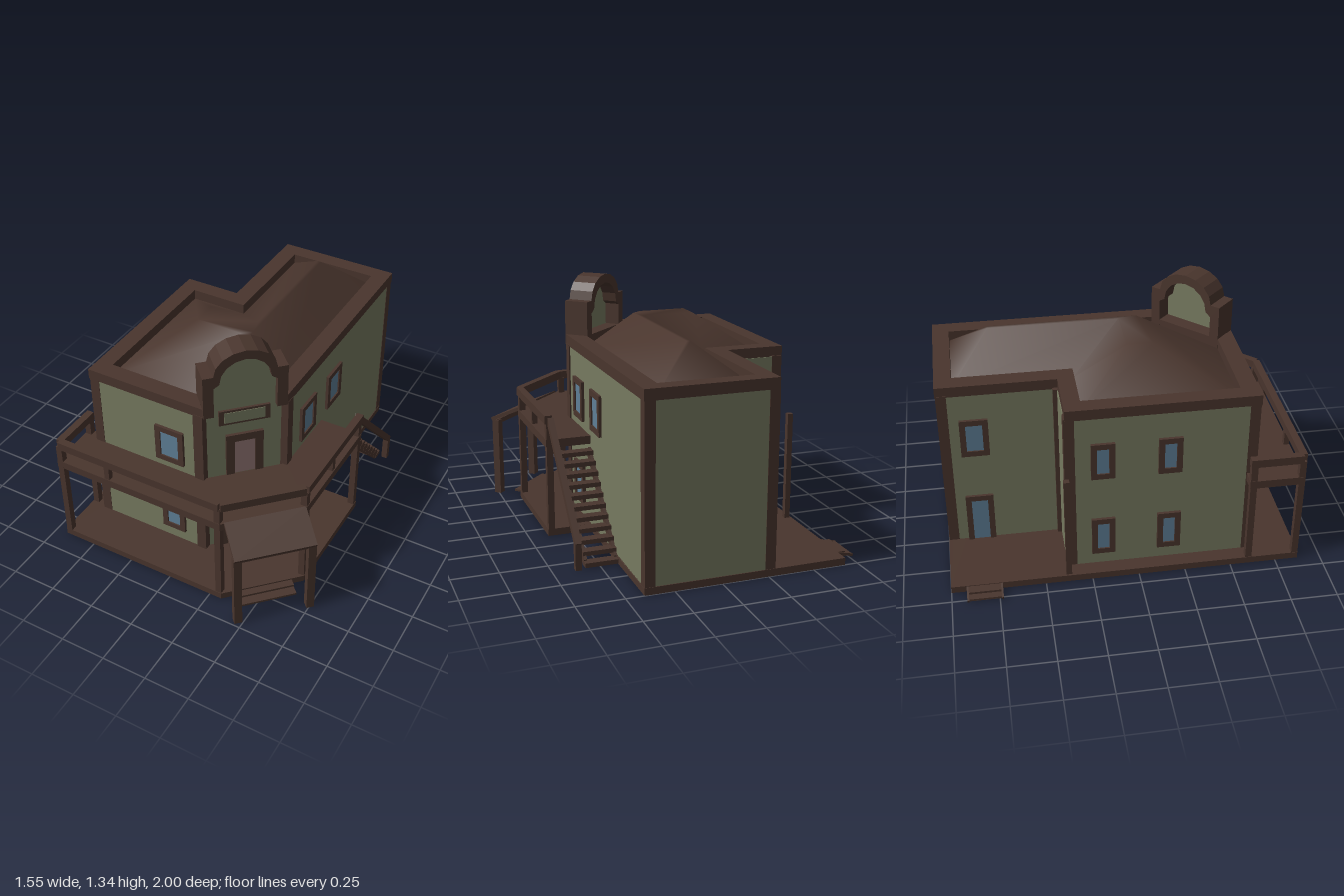
import * as THREE from 'three';

const mat = (name, color) => {
  const m = new THREE.MeshStandardMaterial({ color });
  m.name = name;
  return m;
};

export function createModel() {
  const timber = mat('dark brown timber', 0x49352d);
  const plaster = mat('olive green wall', 0x767a60);
  const glass = mat('blue window glass', 0x5f7f96);
  const doorPaint = mat('dusty pink door', 0x8f7471);
  const roofMat = timber.clone();
  roofMat.name = 'brown roof';
  roofMat.side = THREE.DoubleSide;

  const model = new THREE.Group();
  model.name = 'cornerSaloon';

  const add = (parent, name, geo, m) => {
    const mesh = new THREE.Mesh(geo, m);
    mesh.name = name;
    parent.add(mesh);
    return mesh;
  };
  // Box given by its extents on each axis
  const box = (parent, name, x0, x1, y0, y1, z0, z1, m = timber) => {
    const mesh = add(parent, name, new THREE.BoxGeometry(x1 - x0, y1 - y0, z1 - z0), m);
    mesh.position.set((x0 + x1) / 2, (y0 + y1) / 2, (z0 + z1) / 2);
    return mesh;
  };
  // Straight member between two points
  const beam = (name, p, q, w, h, m = timber) => {
    const a = new THREE.Vector3(...p), b = new THREE.Vector3(...q);
    const mesh = add(model, name, new THREE.BoxGeometry(w, h, a.distanceTo(b)), m);
    mesh.position.copy(a).add(b).multiplyScalar(0.5);
    mesh.lookAt(b);
  };
  const post = (parent, name, x, z, y0, y1, w) =>
    box(parent, name, x - w / 2, x + w / 2, y0, y1, z - w / 2, z + w / 2);
  // Horizontal slab from an [x, z] outline
  const slab = (name, pts, y, h, hole) => {
    const v = (l) => l.map(([x, z]) => new THREE.Vector2(x, -z));
    const shape = new THREE.Shape(v(pts));
    if (hole) shape.holes.push(new THREE.Path(v(hole)));
    const geo = new THREE.ExtrudeGeometry(shape, { depth: h, bevelEnabled: false });
    geo.rotateX(-Math.PI / 2);
    add(model, name, geo, timber).position.y = y;
  };
  const place = (name, x, z, angle) => {
    const g = new THREE.Group();
    g.name = name;
    g.position.set(x, 0, z);
    g.rotation.y = angle;
    model.add(g);
    return g;
  };
  // Framed opening on a wall whose outside is local +z
  const opening = (g, name, w, y0, y1, b, m, isDoor = false) => {
    const d = 0.016;
    box(g, name + 'FrameLeft', w / 2 - b, w / 2, y0, y1, -0.005, d);
    box(g, name + 'FrameRight', -w / 2, -w / 2 + b, y0, y1, -0.005, d);
    box(g, name + 'FrameTop', -w / 2 + b, w / 2 - b, y1 - b, y1, -0.005, d);
    if (!isDoor) box(g, name + 'Sill', -w / 2 + b, w / 2 - b, y0, y0 + b, -0.005, d);
    box(g, name + 'Panel', -w / 2 + b, w / 2 - b, isDoor ? y0 : y0 + b, y1 - b, 0, 0.008, m);
  };

  // Walls, corner posts and base boards; the angled corner gets its own wall below
  const plan = [[-0.59, -0.37], [-0.59, 0.625], [0.085, 0.625], [0.395, 0.315],
    [0.395, -0.99], [-0.28, -0.99], [-0.28, -0.37]];
  plan.forEach(([x, z], i) => {
    const [x2, z2] = plan[(i + 1) % plan.length];
    if (i !== 2) beam('wall', [x, 0.483, z], [x2, 0.483, z2], 0.01, 0.964, plaster);
    beam('baseBoard', [x, 0.017, z], [x2, 0.017, z2], 0.02, 0.034);
  });
  const corners = [[-0.568, -0.35], [-0.568, 0.605], [0.06, 0.61], [0.38, 0.29],
    [0.375, -0.97], [-0.26, -0.97], [-0.28, -0.37]];
  corners.forEach(([x, z]) => post(model, 'cornerPost', x, z, 0, 0.97, 0.055));

  // Parapet ring, set back behind the angled corner
  const parapet = [[-0.6, -0.37], [-0.6, 0.635], [0.09, 0.635], [0.06, 0.605], [0.375, 0.29],
    [0.405, 0.32], [0.405, -1], [-0.285, -1], [-0.285, -0.37]];
  const eave = [[-0.51, -0.28], [-0.51, 0.54], [0, 0.54], [0.31, 0.23],
    [0.31, -0.91], [-0.19, -0.91], [-0.19, -0.28]];
  slab('parapet', parapet, 0.962, 0.058, eave);

  // Hipped roof: slopes between the eave and the ridge outline, plus the flat top
  const ridge = [[-0.23, 0], [-0.23, 0.14], [0.03, 0.14], [0.08, 0.1],
    [0.08, -0.7], [0.06, -0.7], [0.06, 0]];
  const n = eave.length;
  const points = [...eave.map(([x, z]) => [x, 0.963, z]), ...ridge.map(([x, z]) => [x, 1.16, z])];
  const faces = [];
  for (let i = 0; i < n; i++) {
    const j = (i + 1) % n;
    faces.push(i, j, n + j, i, n + j, n + i);
  }
  const flat = ridge.map(([x, z]) => new THREE.Vector2(x, -z));
  THREE.ShapeUtils.triangulateShape(flat, []).forEach((f) => faces.push(...f.map((k) => n + k)));
  const roofGeo = new THREE.BufferGeometry();
  roofGeo.setAttribute('position', new THREE.Float32BufferAttribute(points.flat(), 3));
  roofGeo.setIndex(faces);
  roofGeo.computeVertexNormals();
  add(model, 'hippedRoof', roofGeo, roofMat);

  // Porch deck and balcony floor
  slab('porchDeck', [[-0.68, -1], [0.4, -1], [0.4, -0.11], [0.645, -0.11], [0.645, 0.55],
    [0.32, 0.875], [-0.68, 0.875]], 0, 0.038,
  [[-0.4, -0.01], [-0.37, 0.5], [0.07, 0.47], [0.35, 0.15], [0.31, -0.11], [0.385, -0.13],
    [0.385, -0.96], [0.05, -0.96], [-0.03, -0.84], [-0.02, -0.1]]);
  slab('balconyFloor', [[-0.68, 0.58], [-0.68, 0.875], [0.32, 0.875], [0.645, 0.55], [0.645, -0.11],
    [0.4, -0.11], [0.4, 0.3], [0.07, 0.63], [-0.6, 0.63], [-0.6, 0.58]], 0.5, 0.045);

  // Balcony rail, posts and short uprights
  const rail = [[-0.66, 0.58], [-0.66, 0.861], [0.314, 0.861], [0.63, 0.545], [0.63, -0.11]];
  for (let i = 0; i < rail.length - 1; i++) {
    const [a, b] = [rail[i], rail[i + 1]];
    beam('balconyRail', [a[0], 0.655, a[1]], [b[0], 0.655, b[1]], 0.04, 0.046);
  }
  [[-0.66, 0.6], [-0.66, 0.858], [0.302, 0.855], [0.625, 0.533], [0.625, -0.093]].forEach(([x, z]) =>
    post(model, 'balconyPost', x, z, 0.03, 0.64, 0.035));
  [[-0.36, 0.858], [0.625, 0.23]].forEach(([x, z]) => post(model, 'railUpright', x, z, 0.54, 0.64, 0.03));
  post(model, 'sidePost', -0.655, -0.375, 0.03, 0.64, 0.03);

  // Outside stair
  const steps = 11;
  for (let i = 0; i < steps; i++) {
    const y = 0.5 - (i + 0.5) * 0.045, z = -0.11 - i * 0.0435;
    box(model, 'stairTread', 0.4, 0.58, y - 0.024, y, z - 0.055, z);
  }
  [0.41, 0.57].forEach((x) => beam('stairStringer', [x, 0.47, -0.11], [x, 0.02, -0.555], 0.016, 0.048));
  beam('stairHandrail', [0.618, 0.655, -0.1], [0.618, 0.135, -0.605], 0.033, 0.035);
  post(model, 'stairPost', 0.618, -0.595, 0, 0.15, 0.033);

  // Windows: [x, z, angle, width, bottom, top]
  const R = Math.PI / 2;
  [[-0.115, 0.63, 0, 0.17, 0.595, 0.815], [-0.11, 0.63, 0, 0.14, 0.112, 0.338],
    [0.4, 0.08, R, 0.17, 0.595, 0.817], [0.4, 0.08, R, 0.17, 0.112, 0.338],
    [0.4, -0.235, R, 0.17, 0.595, 0.817],
    [-0.596, 0.17, -R, 0.125, 0.6, 0.813], [-0.596, 0.17, -R, 0.125, 0.112, 0.338],
    [-0.596, -0.18, -R, 0.125, 0.6, 0.813], [-0.596, -0.18, -R, 0.125, 0.112, 0.338],
    [-0.285, -0.815, -R, 0.15, 0.595, 0.817],
  ].forEach(([x, z, a, w, y0, y1]) => opening(place('window', x, z, a), 'window', w, y0, y1, 0.031, glass));
  opening(place('sideDoor', -0.285, -0.815, -R), 'sideDoor', 0.15, 0.038, 0.33, 0.031, glass, true);

  // Angled corner front: arched gable trim around a recessed full-height wall
  const front = place('cornerFront', 0.245, 0.475, Math.PI / 4);
  const V = (x, y) => new THREE.Vector2(x, y);
  const arc = (r, y, h, dir) => Array.from({ length: 9 }, (_, i) => {
    const t = Math.PI * i / 8;
    return V(-dir * r * Math.cos(t), y + h * Math.sin(t));
  });
  const trim = new THREE.Shape([V(-0.22, 0.962), V(-0.22, 1.21), ...arc(0.165, 1.21, 0.13, 1),
    V(0.22, 1.21), V(0.22, 0.962), V(0.165, 0.962), V(0.165, 1.14), ...arc(0.135, 1.16, 0.13, -1),
    V(-0.165, 1.14), V(-0.165, 0.962)]);
  add(front, 'archedGableTrim', new THREE.ExtrudeGeometry(trim, { depth: 0.14, bevelEnabled: false }), timber)
    .position.z = -0.13;
  const infill = new THREE.Shape([V(-0.2, 0), V(-0.2, 0.965), V(-0.17, 0.965), V(-0.17, 1.15),
    ...arc(0.14, 1.16, 0.132, 1), V(0.17, 1.15), V(0.17, 0.965), V(0.2, 0.965), V(0.2, 0)]);
  add(front, 'cornerWall', new THREE.ExtrudeGeometry(infill, { depth: 0.02, bevelEnabled: false }), plaster)
    .position.z = -0.045;

  // Blank sign, doors and knob on the recessed wall
  const recess = place('cornerOpenings', 0.228, 0.458, Math.PI / 4);
  box(recess, 'signBoard', -0.135, 0.135, 0.88, 0.97, -0.01, 0.012);
  box(recess, 'signPanel', -0.108, 0.108, 0.893, 0.957, 0.011, 0.015, plaster);
  opening(recess, 'upperDoor', 0.2, 0.545, 0.807, 0.045, doorPaint, true);
  opening(recess, 'lowerDoor', 0.305, 0.038, 0.328, 0.053, doorPaint, true);
  add(recess, 'doorKnob', new THREE.SphereGeometry(0.013, 8, 6), plaster).position.set(0, 0.14, 0.01);

  // Entrance canopy and steps
  const canopy = add(front, 'canopyRoof', new THREE.BoxGeometry(0.43, 0.02, 0.212), timber);
  canopy.position.set(0.008, 0.502, 0.43);
  canopy.rotation.x = 0.42;
  box(front, 'canopyBeam', -0.205, 0.221, 0.43, 0.458, 0.49, 0.51);
  [-0.187, 0.203].forEach((x) => post(front, 'canopyPost', x, 0.5, 0, 0.455, 0.042));
  box(front, 'frontStepUpper', -0.16, 0.16, 0.018, 0.03, 0.32, 0.375);
  box(front, 'frontStepLower', -0.16, 0.16, 0.002, 0.014, 0.365, 0.42);

  // Side steps
  box(model, 'sideStepUpper', -0.73, -0.67, 0.022, 0.034, -0.91, -0.74);
  box(model, 'sideStepLower', -0.765, -0.715, 0.006, 0.018, -0.91, -0.74);
  [-0.915, -0.735].forEach((z) => beam('sideStepStringer', [-0.77, 0.01, z], [-0.68, 0.03, z], 0.01, 0.014));

  return model;
}
